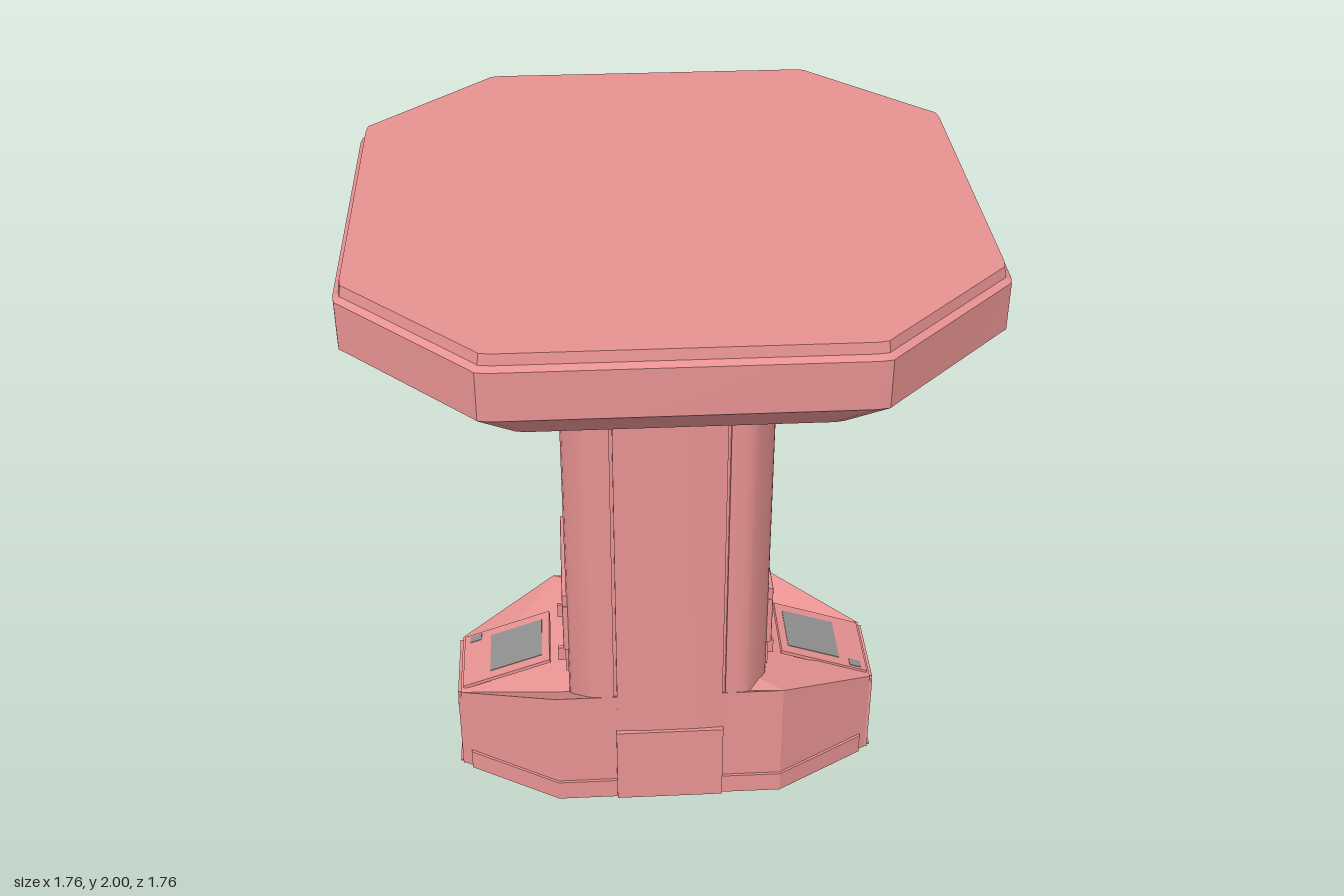
import * as THREE from 'three';
import { toCreasedNormals } from 'three/addons/utils/BufferGeometryUtils.js';
import { RoundedBoxGeometry } from 'three/addons/geometries/RoundedBoxGeometry.js';

const shell = new THREE.MeshStandardMaterial({ color: 0xe89292 });
const screenGrey = new THREE.MeshStandardMaterial({ color: 0x909090 });

function add(parent, name, geometry, material = shell) {
  const mesh = new THREE.Mesh(geometry, material);
  mesh.name = name;
  parent.add(mesh);
  return mesh;
}

function box(parent, name, [w, h, d], [x, y, z], material = shell) {
  const mesh = add(parent, name, new THREE.BoxGeometry(w, h, d), material);
  mesh.position.set(x, y, z);
  return mesh;
}

// Upright prism from a plan outline given as [x, z] pairs
function prism(outline, y0, y1) {
  const shape = new THREE.Shape(outline.map(([x, z]) => new THREE.Vector2(x, -z)));
  return new THREE.ExtrudeGeometry(shape, { depth: y1 - y0, bevelEnabled: false })
    .rotateX(-Math.PI / 2).translate(0, y0, 0);
}

// Completes a quarter outline (running from +x to +z) by mirroring
function fourfold(quarter) {
  const half = [...quarter, ...[...quarter].reverse().map(([x, z]) => [-x, z])];
  return [...half, ...half.map(([x, z]) => [-x, -z])];
}

// Octagon with softened corners, h = half width
function octagon(h) {
  const k = h * 0.57, t = 0.03 * h;
  return fourfold([
    [h, k - t], [h - t * 0.2, k + t * 0.25], [h - t * 0.75, k + t * 0.75],
    [k + t * 0.75, h - t * 0.75], [k + t * 0.25, h - t * 0.2], [k - t, h],
  ]);
}

// Closed solid through octagonal rings of [half width, height], bottom to top
function loftOctagons(rings) {
  const pos = [], index = [], n = octagon(1).length;
  for (const [h, y] of rings) for (const [x, z] of octagon(h)) pos.push(x, y, z);
  for (let r = 0; r < rings.length - 1; r++) {
    for (let i = 0; i < n; i++) {
      const a = r * n + i, b = r * n + (i + 1) % n;
      index.push(a, a + n, b, b, a + n, b + n);
    }
  }
  const top = (rings.length - 1) * n;
  for (let i = 1; i < n - 1; i++) {
    index.push(0, i, i + 1, top, top + i + 1, top + i);
  }
  const g = new THREE.BufferGeometry();
  g.setAttribute('position', new THREE.Float32BufferAttribute(pos, 3));
  g.setIndex(index);
  return toCreasedNormals(g, 0.5);
}

// Rounded rectangular bezel standing in the y-z plane
function bezel(w, h, rim, depth) {
  const rect = (s, a, b) => s.moveTo(-a, -b).lineTo(a, -b).lineTo(a, b).lineTo(-a, b).closePath();
  const shape = rect(new THREE.Shape(), w / 2, h / 2);
  shape.holes.push(rect(new THREE.Path(), w / 2 - rim, h / 2 - rim));
  return new THREE.ExtrudeGeometry(shape, {
    depth, bevelSize: 0.004, bevelThickness: 0.004, bevelSegments: 2,
  }).rotateY(Math.PI / 2);
}

// Everything mounted on one narrow end, modelled on +x
function buildEnd() {
  const end = new THREE.Group();
  end.name = 'endFittings';

  // Large display on the column
  box(end, 'display', [0.02, 0.19, 0.4], [0.311, 0.64, 0], screenGrey);
  add(end, 'displayBezel', bezel(0.415, 0.205, 0.012, 0.02)).position.set(0.304, 0.64, 0);
  for (const z of [-0.207, 0.207]) box(end, 'bezelClip', [0.016, 0.13, 0.012], [0.316, 0.64, z]);
  box(end, 'lowerAccessPanel', [0.02, 0.12, 0.34], [0.313, 0.47, 0]);
  for (const z of [-0.11, 0.11]) box(end, 'hingePin', [0.035, 0.05, 0.012], [0.33, 0.435, z]);

  // Sloping console on the base
  const slope = new THREE.Group();
  slope.name = 'console';
  slope.position.set(0.36, 0.42, 0);
  slope.rotation.z = -Math.atan2(0.11, 0.315);
  end.add(slope);
  box(slope, 'consolePlate', [0.3, 0.012, 0.25], [0.165, 0, 0]);
  box(slope, 'consoleScreen', [0.18, 0.012, 0.18], [0.13, 0.002, 0], screenGrey);
  box(slope, 'consoleButton', [0.04, 0.012, 0.03], [0.275, 0.002, 0.1], screenGrey);

  // Drawer in the end of the base
  box(end, 'drawerFront', [0.03, 0.245, 0.25], [0.66, 0.125, 0]);
  box(end, 'drawerHandle', [0.03, 0.02, 0.23], [0.664, 0.238, 0]);
  for (const z of [-0.134, 0.134]) box(end, 'drawerRail', [0.03, 0.29, 0.012], [0.661, 0.145, z]);
  box(end, 'drawerLintel', [0.03, 0.04, 0.26], [0.661, 0.285, 0]);
  box(end, 'footPlate', [0.04, 0.006, 0.26], [0.665, 0.003, 0]);

  // Tapered bracket under the table top
  const bracket = new THREE.ExtrudeGeometry(new THREE.Shape([
    new THREE.Vector2(0.3, 1.555), new THREE.Vector2(0.33, 1.565), new THREE.Vector2(0.585, 1.642),
    new THREE.Vector2(0.585, 1.675), new THREE.Vector2(0.3, 1.675),
  ]), { depth: 0.22, bevelEnabled: false }).translate(0, 0, -0.11);
  const p = bracket.attributes.position;
  for (let i = 0; i < p.count; i++) {
    if (p.getX(i) > 0.5) p.setZ(i, p.getZ(i) * 0.6);
  }
  bracket.computeVertexNormals();
  add(end, 'bracket', bracket);
  box(end, 'bracketPlate', [0.03, 0.165, 0.33], [0.316, 1.583, 0]);
  return end;
}

// Fittings on one broad side, modelled on +z
function buildSide() {
  const side = new THREE.Group();
  side.name = 'sideFittings';
  const profile = new THREE.Shape([
    [0.3, 1.52], [0.365, 1.52], [0.373, 1.53], [0.392, 1.64], [0.385, 1.66], [0.3, 1.66],
  ].map(([z, y]) => new THREE.Vector2(-z, y)));
  const block = new THREE.ExtrudeGeometry(profile, {
    depth: 0.234, bevelSize: 0.008, bevelThickness: 0.008, bevelSegments: 3,
  }).rotateY(Math.PI / 2).translate(-0.117, 0, 0);
  add(side, 'topBlock', toCreasedNormals(block, 0.6));
  box(side, 'baseLedge', [0.34, 0.28, 0.03], [0, 0.14, 0.32]);
  return side;
}

export function createModel() {
  const model = new THREE.Group();
  model.name = 'pedestalTable';

  // Table top
  add(model, 'tableTop', loftOctagons([
    [0.73, 1.69], [0.88, 1.82], [0.88, 1.958], [0.865, 1.97], [0.86, 2],
  ]));

  // Stepped rings beneath the top
  const ringProfile = [
    [0, 1.66], [0.34, 1.66], [0.34, 1.666], [0.36, 1.666], [0.36, 1.655], [0.49, 1.66],
    [0.5, 1.672], [0.52, 1.682], [0.62, 1.682], [0.62, 1.675], [0.65, 1.675], [0.65, 1.695],
  ].map(([r, y]) => new THREE.Vector2(r, y));
  add(model, 'underRings', toCreasedNormals(new THREE.LatheGeometry(ringProfile, 64), 0.4));

  // Column with a slotted, slightly bowed panel front and back
  const column = prism(fourfold([
    [0.315, 0.19], [0.311, 0.215], [0.3, 0.238], [0.255, 0.298], [0.24, 0.309], [0.22, 0.315],
    [0.175, 0.317], [0.175, 0.3], [0.166, 0.3], [0.166, 0.32], [0.08, 0.324],
  ]), 0.275, 1.67);
  add(model, 'column', toCreasedNormals(column, 0.5));

  // Base with sloping ends
  const base = prism(fourfold([[0.667, 0.14], [0.36, 0.318]]), 0, 0.42);
  const p = base.attributes.position;
  for (let i = 0; i < p.count; i++) {
    if (p.getY(i) > 0.2 && Math.abs(p.getX(i)) > 0.5) p.setY(i, 0.31);
  }
  base.computeVertexNormals();
  add(model, 'base', base);
  add(model, 'baseSkirt', prism(fourfold([[0.645, 0.163], [0.36, 0.327]]), 0, 0.07));

  // Matching fittings on opposite sides
  for (const turn of [0, Math.PI]) {
    const end = buildEnd(), side = buildSide();
    end.rotation.y = side.rotation.y = turn;
    model.add(end, side);
  }
  return model;
}
